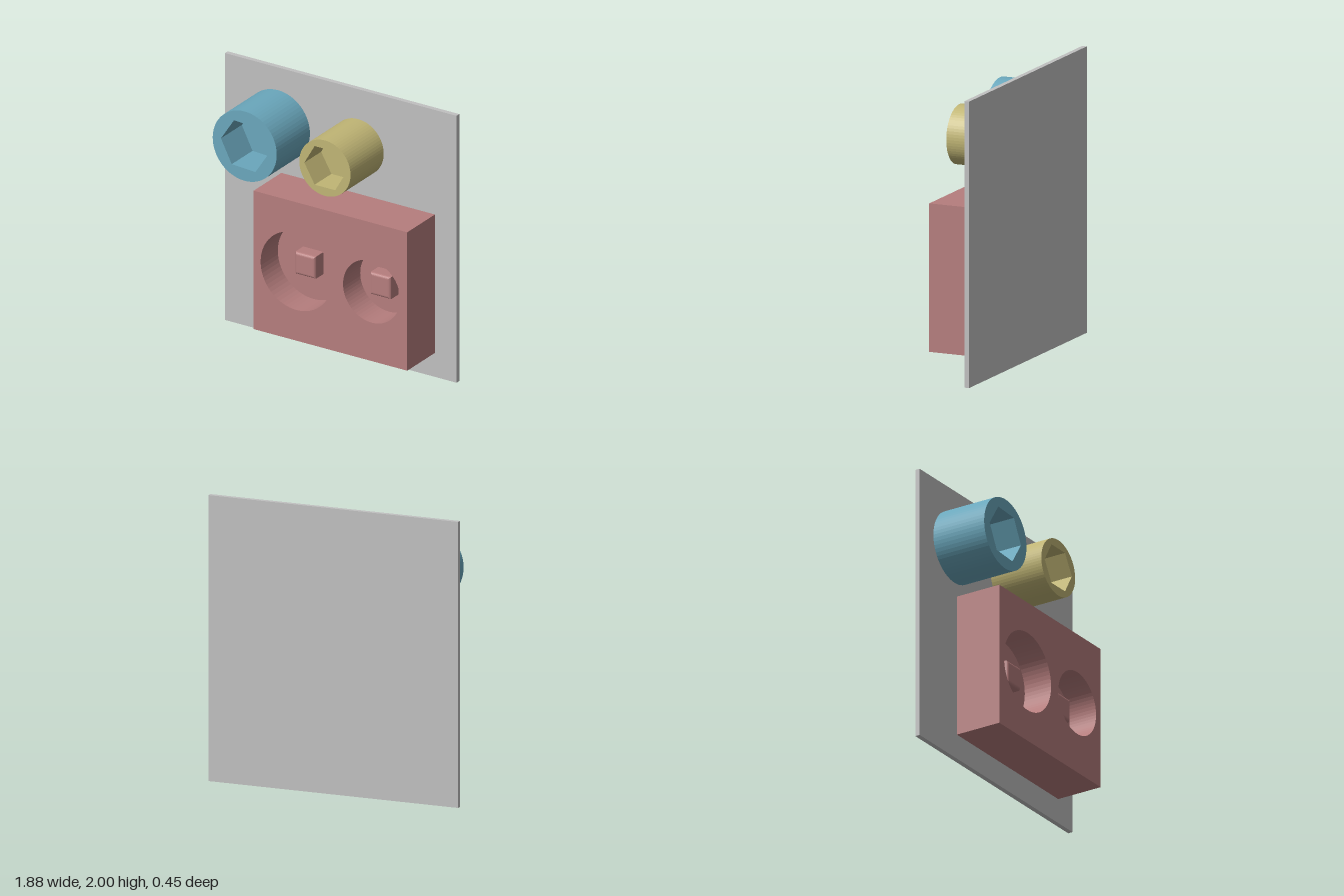
import * as THREE from 'three';

const paint = (name, color) => {
  const m = new THREE.MeshStandardMaterial({ color });
  m.name = name;
  return m;
};

const WALL = -0.19; // front surface of the backing plate

// Regular polygon outline; many sides make a circle
function ring(x, y, r, sides, turn = 0) {
  return Array.from({ length: sides }, (_, i) => {
    const a = turn + (i / sides) * Math.PI * 2;
    return new THREE.Vector2(x + r * Math.cos(a), y + r * Math.sin(a));
  });
}

function addMesh(parent, name, geometry, material, x = 0, y = 0, z = 0) {
  const mesh = new THREE.Mesh(geometry, material);
  mesh.name = name;
  mesh.position.set(x, y, z);
  parent.add(mesh);
  return mesh;
}

// Solid standing off the plate, with pockets closed by a floor
function pocketed(name, outline, pockets, front, depth, material) {
  const group = new THREE.Group();
  group.name = name;
  const shape = new THREE.Shape(outline);
  shape.holes = pockets.map((p) => new THREE.Path(p));
  const body = new THREE.ExtrudeGeometry(shape, { depth: front - WALL, bevelEnabled: false });
  addMesh(group, name + 'Body', body, material, 0, 0, WALL);
  pockets.forEach((p) => {
    addMesh(group, name + 'PocketFloor', new THREE.ShapeGeometry(new THREE.Shape(p)), material, 0, 0, front - depth);
  });
  return group;
}

export function createModel() {
  const model = new THREE.Group();
  model.name = 'toolBoard';
  const grey = paint('plateGrey', 0xc0c0c0);
  const blue = paint('socketBlue', 0x6aa7bc);
  const yellow = paint('socketYellow', 0xc0b575);
  const red = paint('blockRed', 0xb57d7d);

  // Backing plate
  addMesh(model, 'backPlate', new THREE.BoxGeometry(1.88, 2, 0.035), grey, 0, 1, WALL - 0.0175);

  // Round posts with hexagonal sockets
  model.add(pocketed('largeSocket', ring(-0.51, 1.57, 0.26, 64),
    [ring(-0.51, 1.57, 0.193, 6, -0.055)], 0.225, 0.26, blue));
  model.add(pocketed('smallSocket', ring(0.141, 1.568, 0.208, 64),
    [ring(0.141, 1.568, 0.167, 6)], 0.225, 0.21, yellow));

  // Block with two round recesses
  const corners = [[-0.482, 0.18], [0.765, 0.18], [0.765, 1.217], [-0.482, 1.217]]
    .map(([x, y]) => new THREE.Vector2(x, y));
  const block = pocketed('holderBlock', corners,
    [ring(-0.135, 0.7, 0.29, 64), ring(0.476, 0.7, 0.232, 64)], 0.157, 0.215, red);
  model.add(block);

  // Square drive pegs with rounded front edges
  const bevel = 0.02, half = 0.0825 - bevel;
  const square = new THREE.Shape(ring(0, 0, half * Math.SQRT2, 4, Math.PI / 4));
  const peg = new THREE.ExtrudeGeometry(square, {
    depth: 0.1, bevelSize: bevel, bevelThickness: bevel, bevelSegments: 5,
  });
  for (const x of [-0.136, 0.474]) addMesh(block, 'drivePeg', peg, red, x, 0.7, -0.07);

  return model;
}
